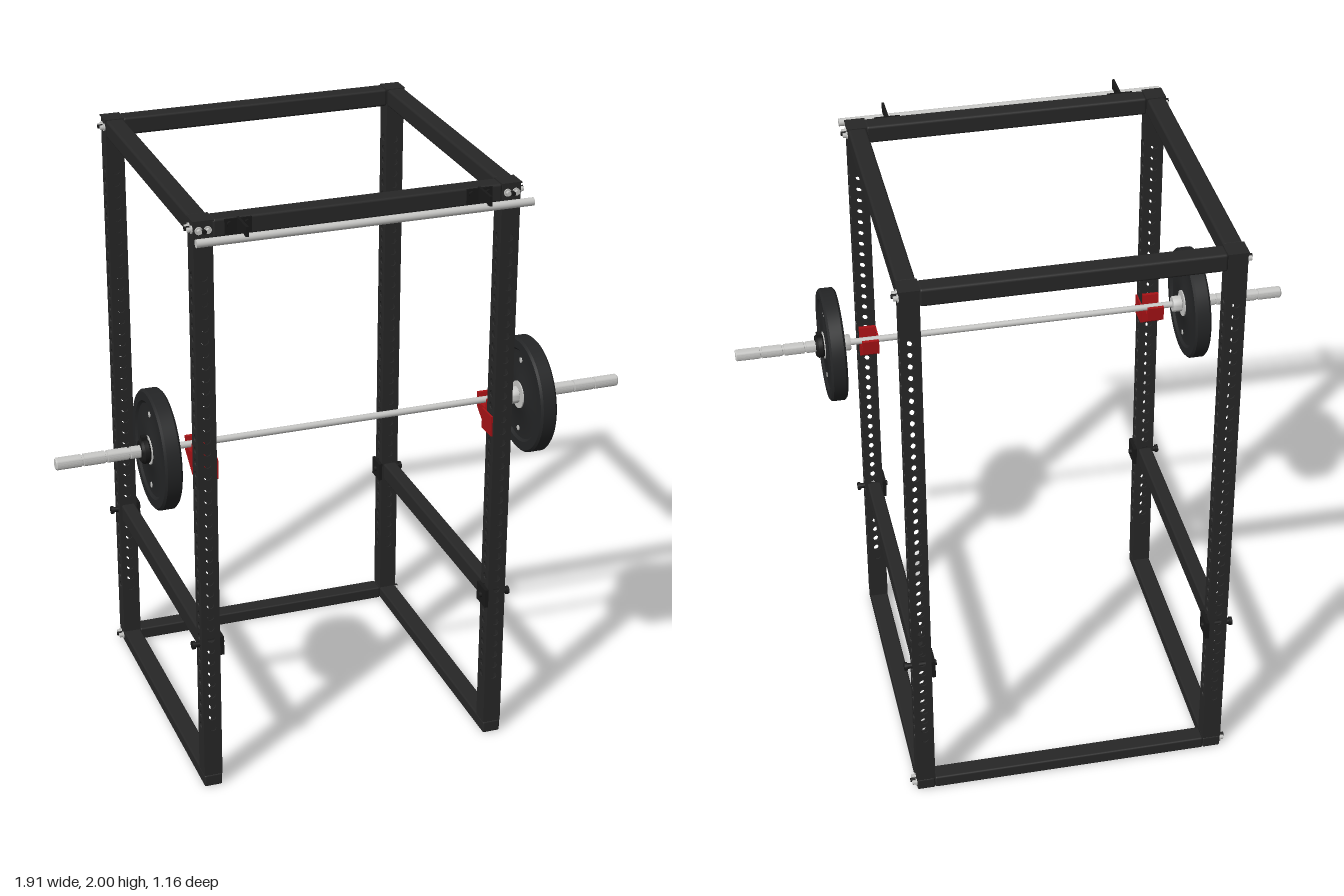
import * as THREE from 'three';
import { toCreasedNormals } from 'three/addons/utils/BufferGeometryUtils.js';
import { RoundedBoxGeometry } from 'three/addons/geometries/RoundedBoxGeometry.js';

const mat = (name, color) => {
  const m = new THREE.MeshStandardMaterial({ color });
  m.name = name;
  return m;
};

export function createModel() {
  const frame = mat('black frame', 0x272727);
  const rubber = mat('plate rubber', 0x242526);
  const dark = mat('dark hardware', 0x191919);
  const steel = mat('brushed steel', 0xc6c6c4);
  const red = mat('red hook', 0xa81216);

  const model = new THREE.Group();
  model.name = 'powerRack';

  const add = (name, geo, material, x = 0, y = 0, z = 0, parent = model) => {
    const m = new THREE.Mesh(geo, material);
    m.name = name;
    m.position.set(x, y, z);
    parent.add(m);
    return m;
  };
  const beam = (name, w, h, d, x, y, z, material = frame) =>
    add(name, new RoundedBoxGeometry(w, h, d, 2, Math.min(w, h, d) * 0.14), material, x, y, z);
  // cylinder lying along the x or z axis
  const rod = (name, axis, r, len, material, x, y, z, sides = 16) => {
    const g = new THREE.CylinderGeometry(r, r, len, sides);
    if (axis === 'x') g.rotateZ(Math.PI / 2);
    else g.rotateX(Math.PI / 2);
    return add(name, g, material, x, y, z);
  };
  // profile of [radius, distance] pairs turned around the bar axis
  const turned = (name, pts, side, material, y, z, sides = 48) => {
    const g = new THREE.LatheGeometry(pts.map(p => new THREE.Vector2(p[0], p[1])), sides);
    g.rotateZ(-side * Math.PI / 2);
    return add(name, toCreasedNormals(g, 0.6), material, 0, y, z);
  };
  // outline drawn in (z, y), given a width along x
  const sideProfile = (pts, width) => {
    const g = new THREE.ExtrudeGeometry(new THREE.Shape(pts.map(p => new THREE.Vector2(p[0], p[1]))),
      { depth: width, bevelEnabled: false });
    return g.translate(0, 0, -width / 2).rotateY(-Math.PI / 2);
  };

  const X = 0.499, ZF = 0.456, ZB = -0.542, S = 0.061, BASE = 0.043, TOP = 2;
  const midZ = (ZF + ZB) / 2, innerZ = ZF - ZB - S;
  const topY = TOP - 0.031, barY = 1.213, barZ = 0.371;

  // One perforated wall of a square tube
  const T = 0.004;
  const wall = w => {
    const s = new THREE.Shape([[-w / 2, BASE], [w / 2, BASE], [w / 2, TOP - 0.002], [-w / 2, TOP - 0.002]]
      .map(p => new THREE.Vector2(...p)));
    for (let i = 0; i < 39; i++) {
      const hole = new THREE.Path();
      hole.absarc(0, 0.225 + i * 0.0419, 0.0125, 0, Math.PI * 2, true);
      s.holes.push(hole);
    }
    return new THREE.ExtrudeGeometry(s, { depth: T, bevelEnabled: false, curveSegments: 6 }).translate(0, 0, -T / 2);
  };
  const wide = wall(S);
  const narrow = wall(S - 2 * T).rotateY(Math.PI / 2);

  // A pair of bolts with washers on a face looking along x or z
  const boltPair = (axis, x, y, z, dir) => {
    for (const o of [-0.014, 0.014]) {
      const at = (d) => axis === 'x' ? [x + dir * d, y, z + o] : [x + o, y, z + dir * d];
      rod('washer', axis, 0.0125, 0.004, steel, ...at(0.002), 14);
      rod('boltHead', axis, 0.008, 0.012, steel, ...at(0.009), 6);
    }
    const c = axis === 'x' ? [x + dir * 0.01, y, z] : [x, y, z + dir * 0.01];
    rod('cornerNut', axis, 0.007, 0.02, dark, ...c, 6);
  };

  for (const s of [-1, 1]) {
    // Uprights
    for (const z of [ZF, ZB]) {
      const post = new THREE.Group();
      post.name = z > 0 ? 'frontPost' : 'backPost';
      post.position.set(s * X, 0, z);
      model.add(post);
      for (const d of [-1, 1]) {
        add('postWall', wide, frame, 0, 0, d * (S - T) / 2, post);
        add('postSideWall', narrow, frame, d * (S - T) / 2, 0, 0, post);
      }
      add('postCap', new THREE.BoxGeometry(S + 0.006, 0.004, S + 0.006), frame, 0, TOP - 0.002, 0, post);
      boltPair('x', s * (X + S / 2), topY, z, s);
    }
    boltPair('z', s * X, topY, ZF + S / 2, 1);
    boltPair('x', s * (X + S / 2), BASE / 2, ZB, s);

    // Side beams
    beam('topSideBeam', S, 0.06, innerZ, s * X, topY, midZ);
    beam('bottomSideBeam', S, BASE, ZF - ZB + S, s * X, BASE / 2, midZ);

    // Safety bar with end brackets and pins
    beam('safetyBar', 0.048, 0.064, innerZ, s * X, 0.533, midZ);
    for (const z of [ZF, ZB]) {
      add('safetyBracket', new THREE.BoxGeometry(0.012, 0.066, S + 0.01), dark, s * (X - S / 2 - 0.006), 0.533, z);
      rod('safetyPin', 'x', 0.0095, 0.10, dark, s * 0.498, 0.533, z);
      rod('pinKnob', 'x', 0.014, 0.01, dark, s * 0.55, 0.533, z);
    }

    // Bar hook: back plate, cup with lip and gusset
    add('barHook', sideProfile([[0.425, 1.125], [0.425, 1.235], [0.412, 1.235], [0.406, 1.2],
      [0.352, 1.196], [0.346, 1.228], [0.334, 1.228], [0.336, 1.178], [0.41, 1.125]], 0.056), red, s * X);
    add('hookCheek', new THREE.BoxGeometry(0.006, 0.07, 0.075), red, s * (X - S / 2 - 0.004), 1.165, 0.44);

    // Pull-up bar bracket
    add('pullUpBracket', sideProfile([[0.486, 2], [0.486, 1.942], [0.515, 1.952], [0.55, 1.965],
      [0.58, 1.968], [0.58, 2]], 0.008), dark, s * 0.39);
    add('bracketFlange', new THREE.BoxGeometry(0.085, 0.05, 0.005), dark, s * 0.39, 1.972, 0.489);
    for (const o of [-0.028, 0.028]) rod('flangeBolt', 'z', 0.009, 0.01, dark, s * 0.39 + o, 1.982, 0.495, 6);

    // Weight plate with raised rim and hub
    turned('weightPlate', [[0.02, 0.603], [0.05, 0.603], [0.058, 0.608], [0.15, 0.608], [0.158, 0.6],
      [0.186, 0.6], [0.193, 0.607], [0.193, 0.649], [0.186, 0.656], [0.158, 0.656], [0.15, 0.649],
      [0.058, 0.649], [0.05, 0.654], [0.02, 0.654]], s, rubber, barY, barZ, 56);
    rod('hubRing', 'x', 0.046, 0.058, steel, s * 0.628, barY, barZ, 32);
    for (const o of [-0.122, 0.122])
      rod('plateRivet', 'x', 0.009, 0.046, steel, s * 0.6285, barY + o, barZ, 12);

    // Clamp collar with lever
    turned('clampCollar', [[0.018, 0.656], [0.036, 0.656], [0.041, 0.662], [0.041, 0.676], [0.034, 0.684],
      [0.018, 0.684]], s, dark, barY, barZ, 24);
    add('clampLever', new THREE.BoxGeometry(0.018, 0.022, 0.02), dark, s * 0.67, barY + 0.04, barZ);

    // Bar sleeve with shoulder and grooves
    const sleeve = [[0, 0.565], [0.026, 0.565], [0.028, 0.569], [0.028, 0.596], [0.02, 0.6]];
    for (const g of [0.72, 0.795, 0.87])
      sleeve.push([0.02, g - 0.004], [0.0165, g - 0.003], [0.0165, g + 0.003], [0.02, g + 0.004]);
    sleeve.push([0.02, 0.952], [0.017, 0.956], [0, 0.956]);
    turned('barSleeve', sleeve, s, steel, barY, barZ, 24);
  }

  // Cross beams
  const crossW = 2 * X - S;
  beam('topFrontBeam', crossW, 0.06, S, 0, topY, ZF);
  beam('topBackBeam', crossW, 0.06, S, 0, topY, ZB);
  beam('bottomBackBeam', crossW, BASE, S, 0, BASE / 2, ZB);

  // Bars
  rod('pullUpBar', 'x', 0.013, 1.085, steel, 0, 1.957, 0.555, 20);
  rod('barShaft', 'x', 0.011, 1.14, steel, 0, barY, barZ, 20);

  return model;
}
